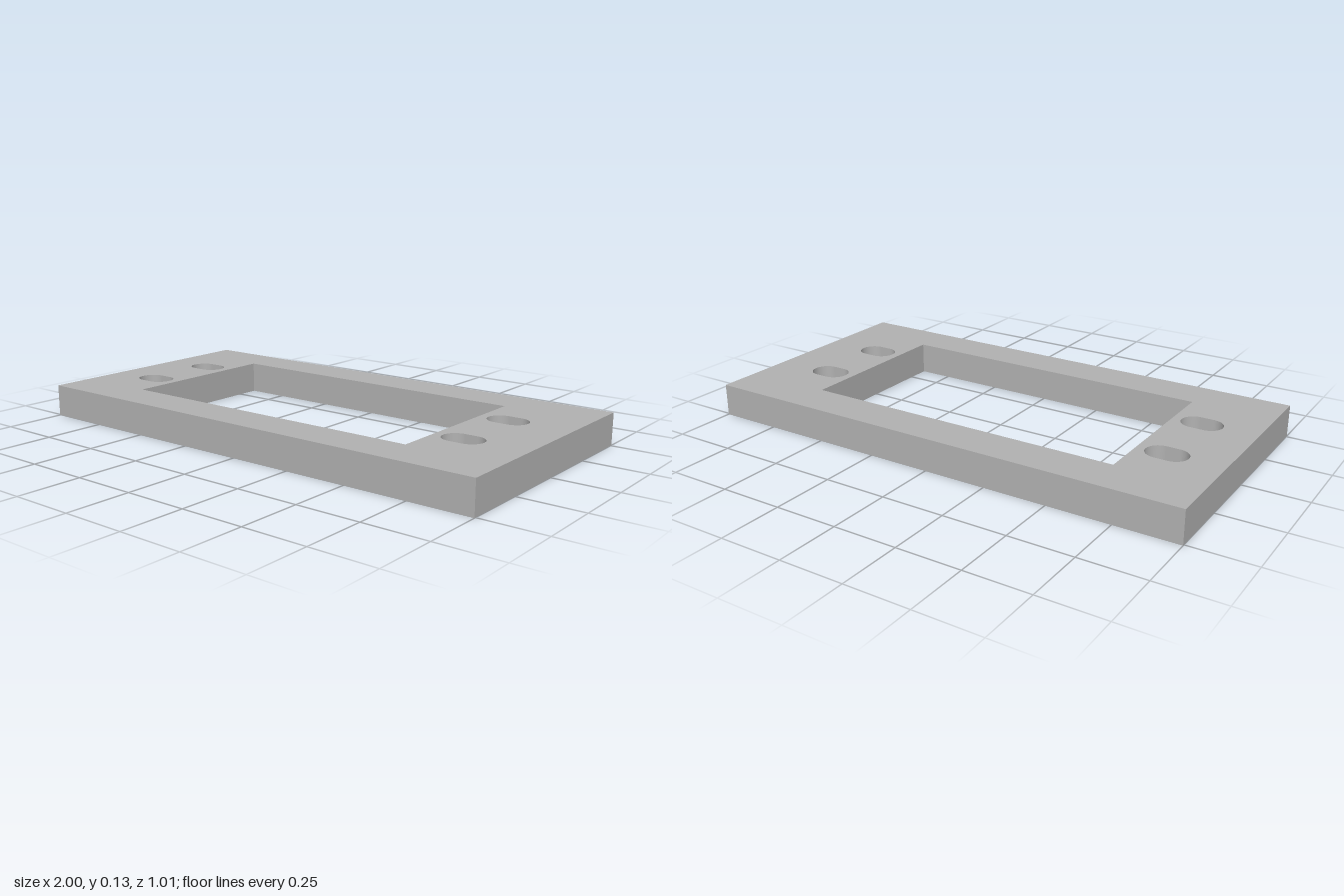
import * as THREE from 'three';

const HALF_DEPTH = 0.506;
const THICKNESS = 0.128;

// Trace a rectangle into a shape or path
function rectangle(path, x0, x1, y0, y1) {
  path.moveTo(x0, y0);
  path.lineTo(x1, y0);
  path.lineTo(x1, y1);
  path.lineTo(x0, y1);
  path.closePath();
  return path;
}

// Slot with rounded ends, running along x
function slot(cx, cy, halfLength, radius) {
  const dx = halfLength - radius;
  const path = new THREE.Path();
  path.absarc(cx + dx, cy, radius, -Math.PI / 2, Math.PI / 2, false);
  path.absarc(cx - dx, cy, radius, Math.PI / 2, Math.PI * 1.5, false);
  path.closePath();
  return path;
}

export function createModel() {
  const group = new THREE.Group();
  group.name = 'mountingFrame';

  const grey = new THREE.MeshStandardMaterial({ color: 0xb2b2b2 });
  grey.name = 'grey';

  // Plate outline with the slightly off-centre window
  const outline = rectangle(new THREE.Shape(), -1, 1, -HALF_DEPTH, HALF_DEPTH);
  outline.holes.push(rectangle(new THREE.Path(), -0.667, 0.633, -0.339, 0.339));

  // Two screw slots at each end
  for (const x of [-0.782, 0.747]) {
    for (const z of [-0.157, 0.157]) outline.holes.push(slot(x, z, 0.081, 0.055));
  }

  // Lay the extrusion flat on the ground
  const geometry = new THREE.ExtrudeGeometry(outline, {
    depth: THICKNESS,
    bevelEnabled: false,
    curveSegments: 20,
  });
  geometry.rotateX(-Math.PI / 2);

  const plate = new THREE.Mesh(geometry, grey);
  plate.name = 'framePlate';
  group.add(plate);
  return group;
}
